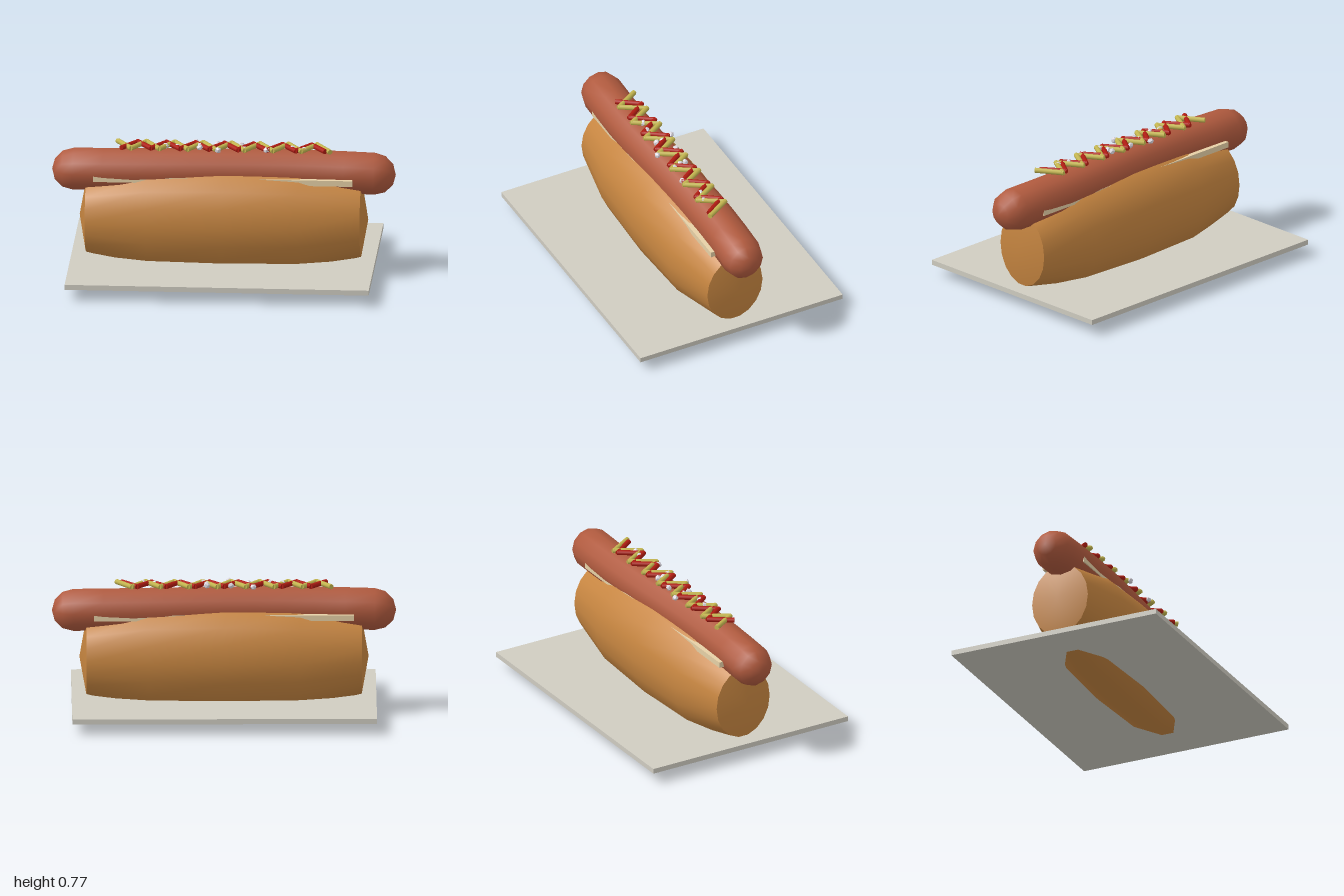
import * as THREE from 'three';
import { toCreasedNormals } from 'three/addons/utils/BufferGeometryUtils.js';

const mat = (name, color) => {
  const m = new THREE.MeshStandardMaterial({ color });
  m.name = name;
  return m;
};

export function createModel() {
  const model = new THREE.Group();
  const colors = {
    bun: mat('toasted bun', 0xc68540),
    crumb: mat('bun crumb', 0xe6d0a6),
    sausage: mat('sausage skin', 0xb05a3e),
    mustard: mat('mustard yellow', 0xc4b650),
    ketchup: mat('ketchup red', 0xb01c12),
    onion: mat('onion white', 0xdcd8e0),
    tray: mat('paper grey', 0xcfccc1),
  };
  const add = (name, geometry, material, parent = model) => {
    const mesh = new THREE.Mesh(geometry, material);
    mesh.name = name;
    parent.add(mesh);
    return mesh;
  };

  // Flat tray
  add('tray', new THREE.BoxGeometry(1.77, 0.03, 1.32), colors.tray).position.y = 0.09;

  // Bun: lathe along x, oval in section, with shallow conical ends
  const half = [[0, 0.84], [0.18, 0.8], [0.25, 0.44], [0.265, 0]];
  const profile = [
    ...half.map(([r, x]) => new THREE.Vector2(r, -x)),
    ...half.slice(0, 3).reverse().map(([r, x]) => new THREE.Vector2(r, x)),
  ];
  const bun = new THREE.LatheGeometry(profile, 18);
  bun.rotateZ(-Math.PI / 2);
  bun.scale(1, 1.235, 1);
  add('bun', toCreasedNormals(bun, 0.6), colors.bun).position.y = 0.333;

  // Pale crumb layer under the sausage
  add('bunCrumb', new THREE.BoxGeometry(1.51, 0.034, 0.268), colors.crumb).position.y = 0.587;

  // Sausage: capsule with a slight S-bend
  const sausage = new THREE.CapsuleGeometry(0.125, 1.75, 3, 12, 10);
  sausage.rotateZ(-Math.PI / 2);
  const p = sausage.attributes.position;
  for (let i = 0; i < p.count; i++) {
    const x = p.getX(i);
    p.setY(i, p.getY(i) + 0.014 * Math.cos(x * Math.PI / 2));
    p.setZ(i, p.getZ(i) - 0.017 * Math.sin(x * Math.PI));
  }
  sausage.computeVertexNormals();
  add('sausage', toCreasedNormals(sausage, 0.9), colors.sausage).position.y = 0.607;

  // Zigzag sauces made of short round strokes
  const zigzag = (name, material, count, reach, amplitude, side) => {
    const group = new THREE.Group();
    group.name = name;
    model.add(group);
    const point = (i) => new THREE.Vector3(
      -reach + (2 * reach * i) / count, 0.76, side * amplitude * (i % 2 ? -1 : 1));
    for (let i = 0; i < count; i++) {
      const a = point(i), b = point(i + 1);
      const dir = b.clone().sub(a);
      const stroke = add(name + 'Stroke', new THREE.CylinderGeometry(0.015, 0.015, dir.length() + 0.012, 8), material, group);
      stroke.position.copy(a).add(b).multiplyScalar(0.5);
      stroke.quaternion.setFromUnitVectors(new THREE.Vector3(0, 1, 0), dir.normalize());
    }
  };
  zigzag('mustard', colors.mustard, 15, 0.62, 0.068, -1);
  zigzag('ketchup', colors.ketchup, 14, 0.59, 0.06, 1);

  // Scattered onion bits
  const onions = new THREE.Group();
  onions.name = 'onions';
  model.add(onions);
  [[-0.17, -0.08], [-0.04, -0.045], [0.1, -0.035], [0.1, 0], [-0.34, 0.015], [-0.27, 0.025],
    [-0.14, -0.01], [-0.14, 0.03], [-0.03, 0.08], [0.12, 0.045], [0.25, 0.06], [0.4, 0.02], [0.47, 0.035],
  ].forEach(([x, z], i) => {
    const bit = add('onionBit', new THREE.IcosahedronGeometry(0.02, 0), colors.onion, onions);
    bit.position.set(x, 0.761, z);
    bit.rotation.set(i, i * 1.7, 0);
    bit.scale.y = 0.85;
  });

  return model;
}
